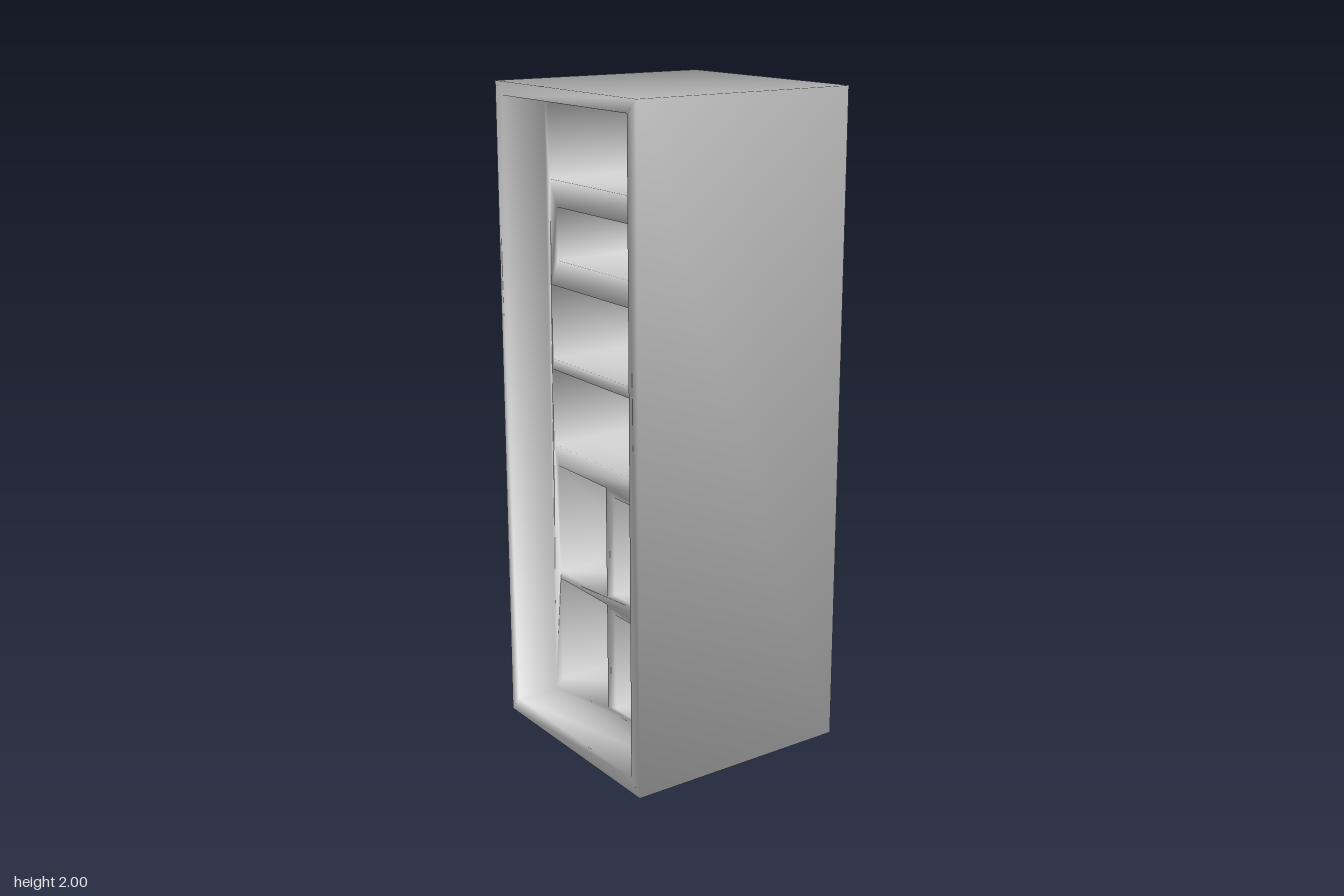
import * as THREE from 'three';
import { mergeVertices } from 'three/addons/utils/BufferGeometryUtils.js';

const BACK = -0.362, FRONT = 0.362, PANEL = 0.222, NICHE_BACK = -0.08;
const OUTER = [-0.363, 0, 0.363, 2];
const OPENING = [-0.322, 0.05, 0.32, 1.96];

// Compartments as [left, bottom, right, top]
const SHELVES = [
  [-0.3, 1.71, 0.295, 1.935],
  [-0.263, 1.47, 0.26, 1.63],
  [-0.3, 1.16, 0.295, 1.39],
  [-0.304, 0.885, 0.298, 1.125],
];
const CUBBIES = [
  [-0.278, 0.47, -0.013, 0.82],
  [0.03, 0.49, 0.25, 0.8],
  [-0.278, 0.1, -0.013, 0.445],
  [0.03, 0.115, 0.25, 0.425],
];

// Four corners of a rectangle, counter-clockwise from the front
const ring = ([x0, y0, x1, y1], z) => [[x0, y0, z], [x1, y0, z], [x1, y1, z], [x0, y1, z]];

const quad = (a, b, c, d) => [a, b, c, a, c, d].flat();

// Band of four quads joining each ring to the next
function bands(...rings) {
  const out = [];
  for (let k = 0; k + 1 < rings.length; k++) {
    const A = rings[k], B = rings[k + 1];
    for (let i = 0; i < 4; i++) {
      const j = (i + 1) % 4;
      out.push(...quad(A[i], A[j], B[j], B[i]));
    }
  }
  return out;
}

// Recessed board with an opening for every compartment
function panel() {
  const points = (r) => ring(r, 0).map(([x, y]) => new THREE.Vector2(x, y));
  const shape = new THREE.Shape(points(OPENING));
  for (const r of [...SHELVES, ...CUBBIES]) shape.holes.push(new THREE.Path(points(r)));
  const geo = new THREE.ShapeGeometry(shape).translate(0, 0, PANEL).toNonIndexed();
  return Array.from(geo.attributes.position.array);
}

// Hollow compartment closed at the back
function niche(r) {
  const back = ring(r, NICHE_BACK);
  return [...bands(ring(r, PANEL), back), ...quad(...back)];
}

export function createModel() {
  const group = new THREE.Group();
  group.name = 'cabinet';
  const material = new THREE.MeshStandardMaterial({ color: 0xcccccc });

  const back = ring(OUTER, BACK), front = ring(OUTER, FRONT), lip = ring(OPENING, FRONT);
  const parts = [
    ['outerCase', [...quad(...[...back].reverse()), ...bands(back, front)]],
    ['frontFrame', bands(front, lip)],
    ['openingWalls', bands(lip, ring(OPENING, PANEL))],
    ['facePanel', panel()],
    ...SHELVES.map((r, i) => [`shelfCompartment${i + 1}`, niche(r)]),
    ...CUBBIES.map((r, i) => [`lowerCubby${i + 1}`, niche(r)]),
  ];

  // Smooth normals across all joined parts
  let whole = new THREE.BufferGeometry();
  const all = parts.flatMap(([, positions]) => positions);
  whole.setAttribute('position', new THREE.Float32BufferAttribute(all, 3));
  whole = mergeVertices(whole);
  whole.computeVertexNormals();
  const normals = whole.toNonIndexed().attributes.normal.array;

  let start = 0;
  for (const [name, positions] of parts) {
    const end = start + positions.length;
    const geo = new THREE.BufferGeometry();
    geo.setAttribute('position', new THREE.Float32BufferAttribute(positions, 3));
    geo.setAttribute('normal', new THREE.Float32BufferAttribute(normals.slice(start, end), 3));
    const mesh = new THREE.Mesh(geo, material);
    mesh.name = name;
    group.add(mesh);
    start = end;
  }
  return group;
}
